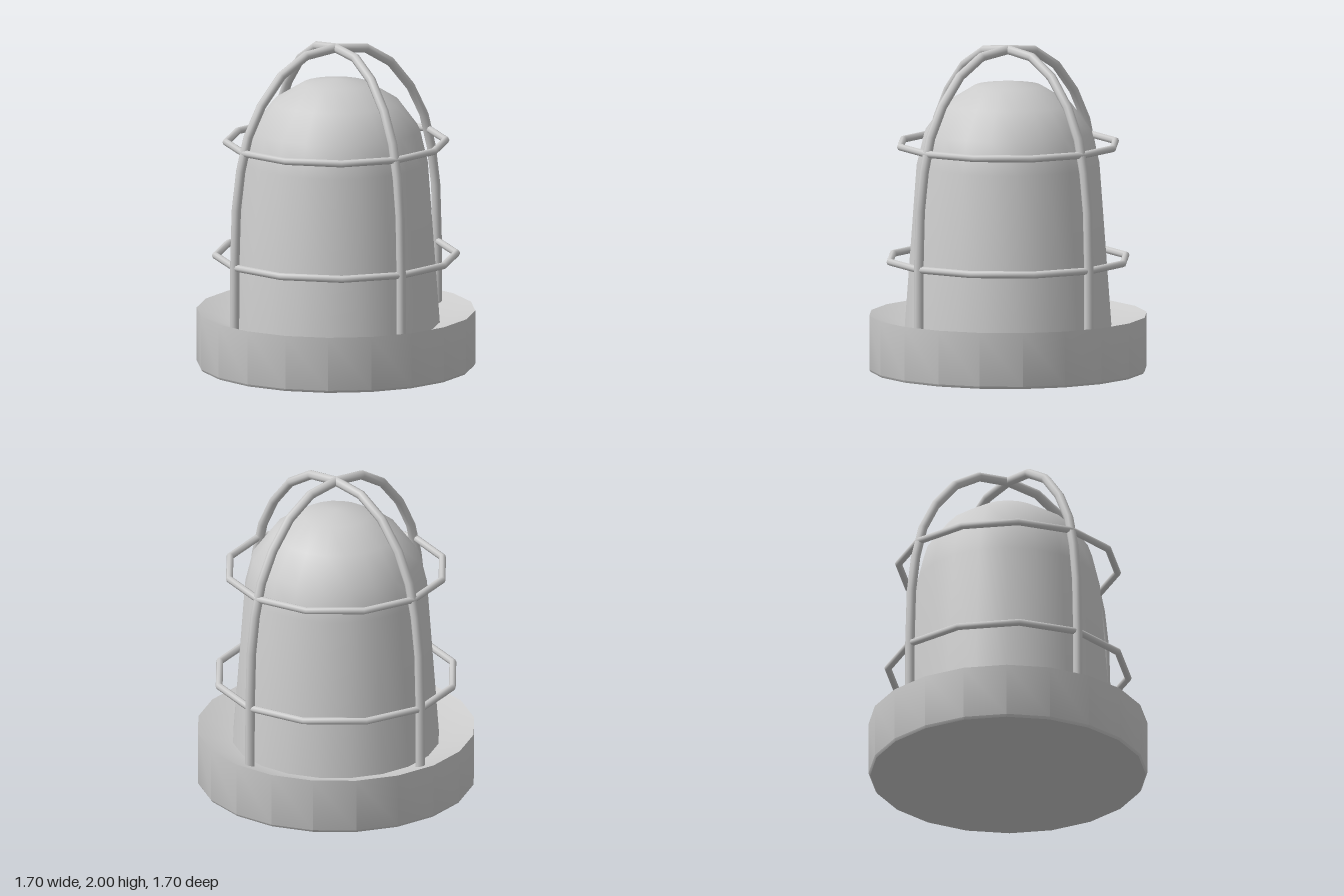
import * as THREE from 'three';
import { toCreasedNormals } from 'three/addons/utils/BufferGeometryUtils.js';

const SIDES = 20;
const grey = new THREE.MeshStandardMaterial({ color: 0xcccccc });

// Straight segments between points, sampled exactly at the corners
class Polyline extends THREE.Curve {
  constructor(points) {
    super();
    this.points = points;
  }
  getUtoTmapping(u) {
    return u;
  }
  getPoint(t, target = new THREE.Vector3()) {
    const n = this.points.length - 1;
    const i = Math.min(Math.floor(t * n), n - 1);
    return target.lerpVectors(this.points[i], this.points[i + 1], t * n - i);
  }
}

function addMesh(parent, name, geometry) {
  const mesh = new THREE.Mesh(geometry, grey);
  mesh.name = name;
  parent.add(mesh);
  return mesh;
}

// Turned part from [radius, height] pairs, listed from bottom to top
function turned(profile, crease) {
  const points = profile.map(([r, y]) => new THREE.Vector2(r, y));
  return toCreasedNormals(new THREE.LatheGeometry(points, SIDES), crease);
}

export function createModel() {
  const model = new THREE.Group();
  model.name = 'cagedLamp';

  // Base: drum with a small lower bevel and a dished top
  addMesh(model, 'base', turned([
    [0, 0], [0.84, 0], [0.85, 0.015], [0.85, 0.345], [0.64, 0.27], [0, 0.27],
  ], 0.6));

  // Tapered glass with a domed end
  addMesh(model, 'glassDome', turned([
    [0.635, 0.25], [0.56, 1.27], [0.512, 1.47], [0.385, 1.64], [0.205, 1.75], [0, 1.78],
  ], 0.9));

  // Guard: two crossing arches and two hoops
  const guard = new THREE.Group();
  guard.name = 'guard';
  model.add(guard);

  const half = [
    [0.735, 0.26], [0.733, 0.7], [0.722, 1.04], [0.69, 1.28],
    [0.637, 1.485], [0.54, 1.67], [0.395, 1.84], [0.217, 1.945],
  ];
  const path = [
    ...half.map(([x, y]) => new THREE.Vector3(-x, y, 0)),
    new THREE.Vector3(0, 1.97, 0),
    ...half.map(([x, y]) => new THREE.Vector3(x, y, 0)).reverse(),
  ];
  const archGeometry = new THREE.TubeGeometry(new Polyline(path), path.length - 1, 0.029, 8);
  addMesh(guard, 'sideArch', archGeometry);
  addMesh(guard, 'frontArch', archGeometry).rotation.y = Math.PI / 2;

  for (const [name, radius, y] of [['lowerHoop', 0.735, 0.685], ['upperHoop', 0.67, 1.39]]) {
    const hoop = addMesh(guard, name, new THREE.TorusGeometry(radius, 0.022, 8, 12));
    hoop.rotation.x = Math.PI / 2;
    hoop.position.y = y;
  }

  return model;
}
